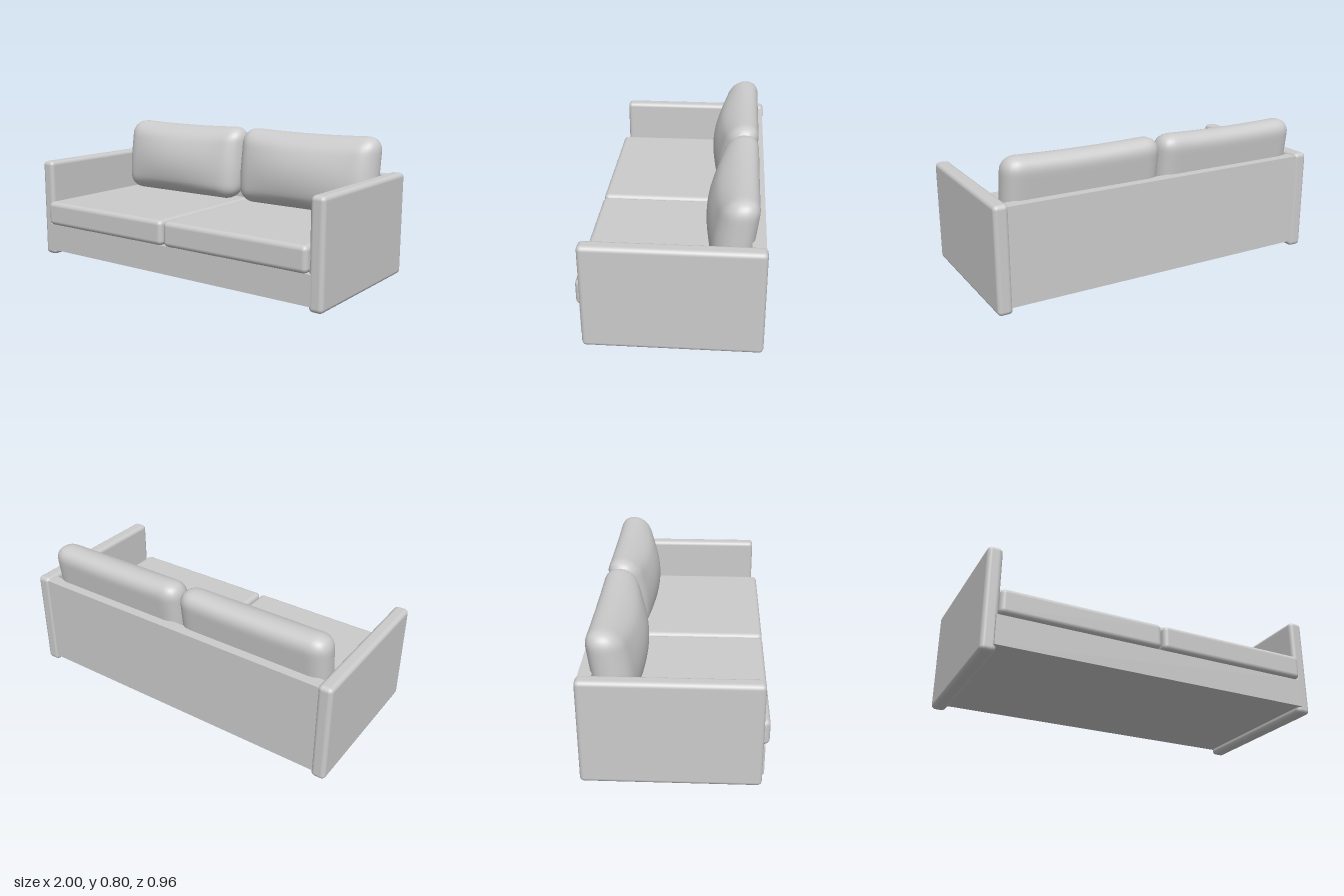
import * as THREE from 'three';
import { RoundedBoxGeometry } from 'three/addons/geometries/RoundedBoxGeometry.js';
import { mergeVertices } from 'three/addons/utils/BufferGeometryUtils.js';

const material = new THREE.MeshStandardMaterial({ color: 0xcccccc });

// Adds a box given its [min, max] ranges; radius 0 keeps the edges sharp
function addBox(group, name, [x0, x1], [y0, y1], [z0, z1], radius = 0) {
  const size = [x1 - x0, y1 - y0, z1 - z0];
  const geometry = radius
    ? new RoundedBoxGeometry(...size, 3, radius)
    : new THREE.BoxGeometry(...size);
  const mesh = new THREE.Mesh(geometry, material);
  mesh.name = name;
  mesh.position.set((x0 + x1) / 2, (y0 + y1) / 2, (z0 + z1) / 2);
  group.add(mesh);
}

// Soft pillow: a rounded slab with a bulging front, sagging top, narrow foot and a backward lean
function pillowGeometry(width, height, depth, radius) {
  const half = new THREE.Vector3(width / 2, height / 2, depth / 2);
  const core = half.clone().subScalar(radius);
  let geometry = new THREE.BoxGeometry(width, height, depth, 32, 20, 10);
  geometry.deleteAttribute('uv');
  geometry.deleteAttribute('normal');
  geometry = mergeVertices(geometry);

  const pos = geometry.attributes.position;
  const p = new THREE.Vector3();
  const inner = new THREE.Vector3();
  for (let i = 0; i < pos.count; i++) {
    p.fromBufferAttribute(pos, i);
    inner.copy(p).clamp(core.clone().negate(), core);
    p.sub(inner).setLength(radius).add(inner);

    const u = p.x / half.x;
    const v = p.y / half.y;
    const w = p.z / half.z;
    const low = Math.max(0, -v);
    const fullness = (1 - u * u) * (1 - v * v);
    if (w > 0) p.z += 0.075 * w * fullness;
    p.x *= 1 - 0.05 * low * low;
    if (v > 0) p.y -= 0.012 * v * (1 - u * u);
    p.z -= 0.13 * p.y;
    pos.setXYZ(i, p.x, p.y, p.z);
  }
  geometry.computeVertexNormals();
  return geometry;
}

export function createModel() {
  const sofa = new THREE.Group();
  sofa.name = 'sofa';

  // Frame
  addBox(sofa, 'base', [-0.935, 0.935], [0.035, 0.2], [-0.475, 0.46]);
  addBox(sofa, 'backPanel', [-0.93, 0.93], [0.035, 0.578], [-0.475, -0.405]);

  const pillow = pillowGeometry(0.91, 0.455, 0.18, 0.085);
  for (const side of [-1, 1]) {
    const label = side > 0 ? 'left' : 'right';
    const span = (a, b) => (side > 0 ? [a, b] : [-b, -a]);

    // Side panel armrest
    addBox(sofa, label + 'Arm', span(0.917, 1), [0, 0.592], [-0.482, 0.448], 0.025);

    // Seat cushion
    addBox(sofa, label + 'SeatCushion', span(0.006, 0.925), [0.2, 0.345], [-0.41, 0.482], 0.028);

    // Back cushion
    const back = new THREE.Mesh(pillow, material);
    back.name = label + 'BackCushion';
    back.position.set(side > 0 ? 0.45 : -0.465, 0.573, -0.33);
    sofa.add(back);
  }
  return sofa;
}
